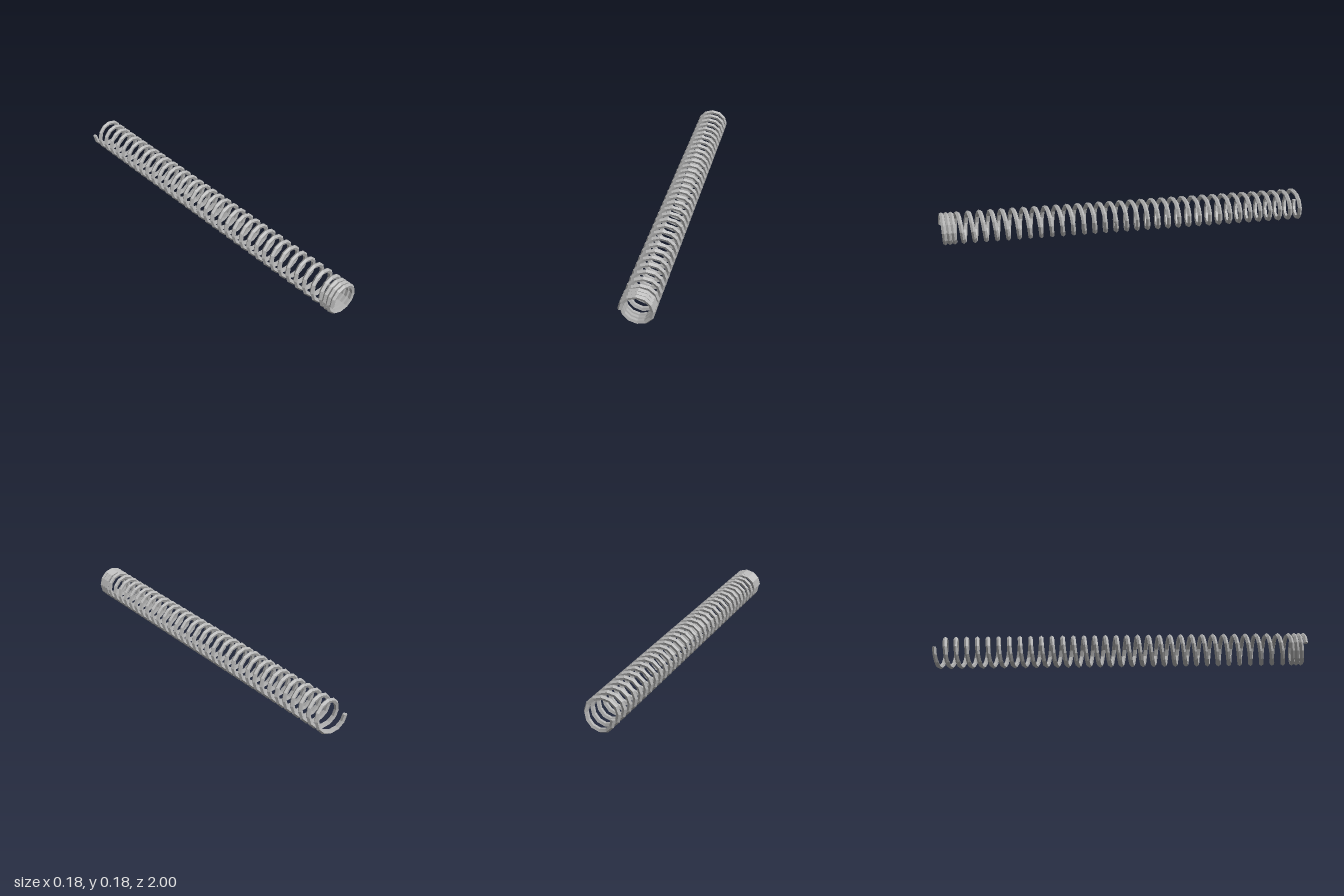
import * as THREE from 'three';

const STEPS = 12;         // straight segments per turn
const SIDES = 5;          // pentagonal wire, one ridge pointing outward
const COIL_RADIUS = 0.0762;
const WIRE_RADIUS = 0.0122;
const CENTRE_Y = 0.0895;
const OPEN_TURNS = 33;
const CLOSED_TURNS = 3;
const CLOSED_PITCH = 0.0245;
const HALF_WIDTH = WIRE_RADIUS * Math.sin(Math.PI * 0.4);
const START_Z = -1 + HALF_WIDTH;
const OPEN_PITCH = (2 - 2 * HALF_WIDTH - CLOSED_TURNS * CLOSED_PITCH) / OPEN_TURNS;

// Distance along the axis after a number of turns: open coils, then closed ones
function axisZ(turns) {
  return START_Z + Math.min(turns, OPEN_TURNS) * OPEN_PITCH
    + Math.max(turns - OPEN_TURNS, 0) * CLOSED_PITCH;
}

// Sweep the pentagonal section round the helix and cap both ends
function coilGeometry() {
  const positions = [];
  const index = [];
  const last = (OPEN_TURNS + CLOSED_TURNS) * STEPS;
  for (let s = 0; s <= last; s++) {
    const turns = s / STEPS;
    const theta = Math.PI + turns * Math.PI * 2;
    for (let i = 0; i < SIDES; i++) {
      const a = (i / SIDES) * Math.PI * 2;
      const r = COIL_RADIUS + WIRE_RADIUS * Math.cos(a);
      positions.push(
        r * Math.cos(theta),
        CENTRE_Y + r * Math.sin(theta),
        axisZ(turns) + WIRE_RADIUS * Math.sin(a)
      );
      if (s < last) {
        const p = s * SIDES + i;
        const q = s * SIDES + (i + 1) % SIDES;
        index.push(p, p + SIDES, q, p + SIDES, q + SIDES, q);
      }
    }
  }
  const end = last * SIDES;
  for (let i = 1; i < SIDES - 1; i++) {
    index.push(0, i, i + 1);
    index.push(end, end + i + 1, end + i);
  }
  const indexed = new THREE.BufferGeometry();
  indexed.setAttribute('position', new THREE.Float32BufferAttribute(positions, 3));
  indexed.setIndex(index);
  const faceted = indexed.toNonIndexed();
  faceted.computeVertexNormals();
  return faceted;
}

export function createModel() {
  const group = new THREE.Group();
  group.name = 'spring';

  const steel = new THREE.MeshStandardMaterial({ color: 0xb4b4b4 });
  steel.name = 'steel grey';

  const coil = new THREE.Mesh(coilGeometry(), steel);
  coil.name = 'springCoil';
  group.add(coil);
  return group;
}
